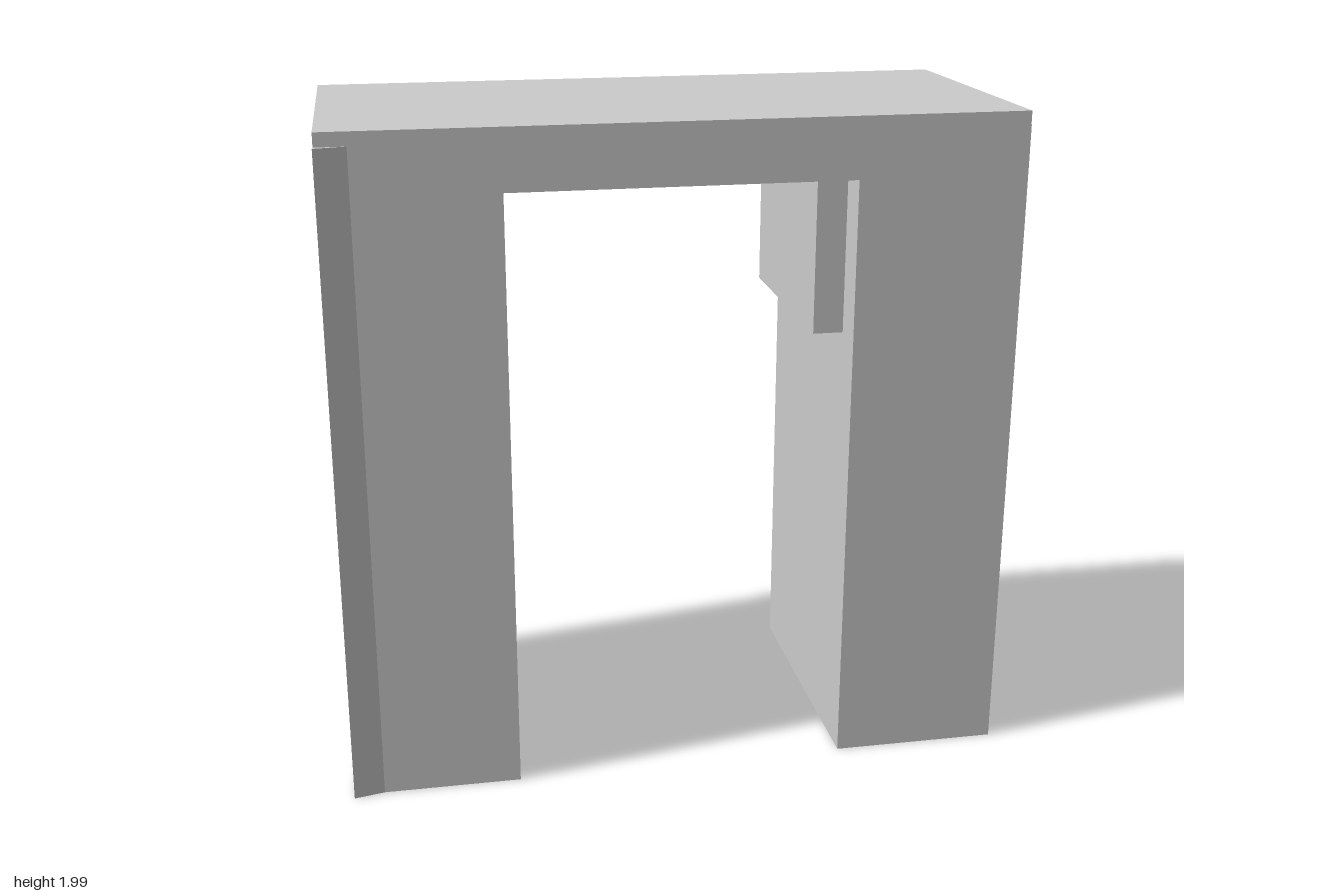
import * as THREE from 'three';

const material = new THREE.MeshStandardMaterial({ color: 0xcccccc, flatShading: true });

// Upright prism from a plan outline of [x, z] corners, between two heights
function prism(name, plan, bottom, top) {
  const shape = new THREE.Shape(plan.map(([x, z]) => new THREE.Vector2(x, -z)));
  const geometry = new THREE.ExtrudeGeometry(shape, { depth: top - bottom, bevelEnabled: false });
  geometry.rotateX(-Math.PI / 2).translate(0, bottom, 0);
  const mesh = new THREE.Mesh(geometry, material);
  mesh.name = name;
  return mesh;
}

export function createModel() {
  const group = new THREE.Group();
  group.name = 'archway';
  const front = 0.428, back = -0.445;
  const beamBottom = 1.81, beamTop = 1.99, legTop = 1.95;

  // Slightly skewed lintel
  group.add(prism('lintel', [
    [-0.985, back], [-0.998, front], [0.999, front], [0.982, back],
  ], beamBottom, beamTop));

  // Tapered leg with a small flare at its outer front corner
  group.add(prism('rightLeg', [
    [-0.5, back], [-0.92, back], [-1, 0.447], [-0.91, front], [-0.5, front],
  ], 0, legTop));

  // Straight leg, poking out past the lintel at the back
  group.add(prism('leftLeg', [
    [0.5, back], [0.5, front], [1, front], [1, -0.447],
  ], 0, legTop));

  // Block hung on the inner side of the left leg
  group.add(prism('innerBlock', [
    [0.41, -0.35], [0.41, 0.32], [0.51, 0.32], [0.51, -0.35],
  ], 1.335, beamBottom + 0.01));

  return group;
}
